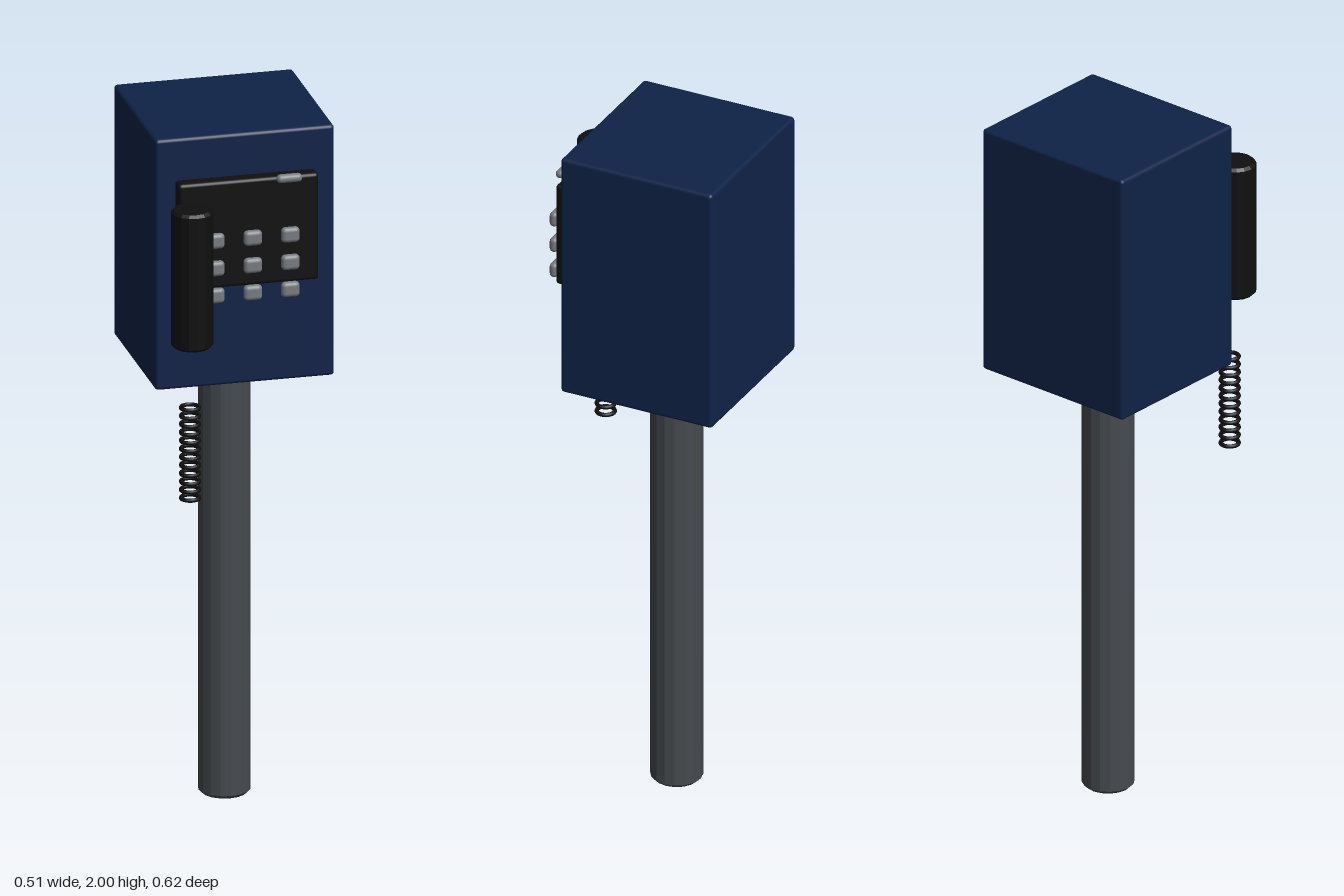
import * as THREE from 'three';
import { RoundedBoxGeometry } from 'three/addons/geometries/RoundedBoxGeometry.js';

const paint = (name, color) => {
  const m = new THREE.MeshStandardMaterial({ color });
  m.name = name;
  return m;
};

export function createModel() {
  const model = new THREE.Group();
  model.name = 'payPhone';
  const navy = paint('navy', 0x0f2348);
  const black = paint('black', 0x0f0f0f);
  const steel = paint('dark steel', 0x464a4e);
  const grey = paint('key grey', 0x777b80);

  const add = (name, geometry, material, x, y, z, parent = model) => {
    const mesh = new THREE.Mesh(geometry, material);
    mesh.name = name;
    mesh.position.set(x, y, z);
    parent.add(mesh);
    return mesh;
  };

  // Faceted upright cylinder with small bevelled rims
  const bevelledCylinder = (r, h, b) => {
    const profile = [[0, 0], [r - b, 0], [r, b], [r, h - b], [r - b, h], [0, h]];
    const g = new THREE.LatheGeometry(profile.map(([x, y]) => new THREE.Vector2(x, y)), 16).toNonIndexed();
    g.computeVertexNormals();
    return g;
  };

  // Post and housing
  add('post', bevelledCylinder(0.073, 1.27, 0.01), steel, 0, 0, -0.077);
  add('housing', new RoundedBoxGeometry(0.506, 0.73, 0.465, 2, 0.01), navy, 0, 1.635, -0.0805);

  // Front panel and handset
  add('panel', new RoundedBoxGeometry(0.396, 0.31, 0.047, 2, 0.01), black, 0, 1.725, 0.172);
  add('handset', bevelledCylinder(0.059, 0.4, 0.008), black, -0.175, 1.43, 0.253);

  // Coin slot and keypad
  add('coinSlot', new RoundedBoxGeometry(0.072, 0.024, 0.025, 3, 0.0115), grey, 0.11, 1.88, 0.212);
  const keypad = new THREE.Group();
  keypad.name = 'keypad';
  model.add(keypad);
  const key = new RoundedBoxGeometry(0.052, 0.044, 0.025, 3, 0.012);
  for (const y of [1.725, 1.645, 1.566])
    for (const x of [-0.106, 0, 0.106]) add('key', key, grey, x, y, 0.238, keypad);

  // Handset cord: a stack of rings
  const cord = new THREE.Group();
  cord.name = 'cord';
  model.add(cord);
  const ring = new THREE.TorusGeometry(0.025, 0.006, 8, 20).rotateX(Math.PI / 2);
  for (let i = 0; i < 12; i++) add('cordRing', ring, black, -0.175, 1.243 - i * 0.0239, 0.23, cord);

  return model;
}
